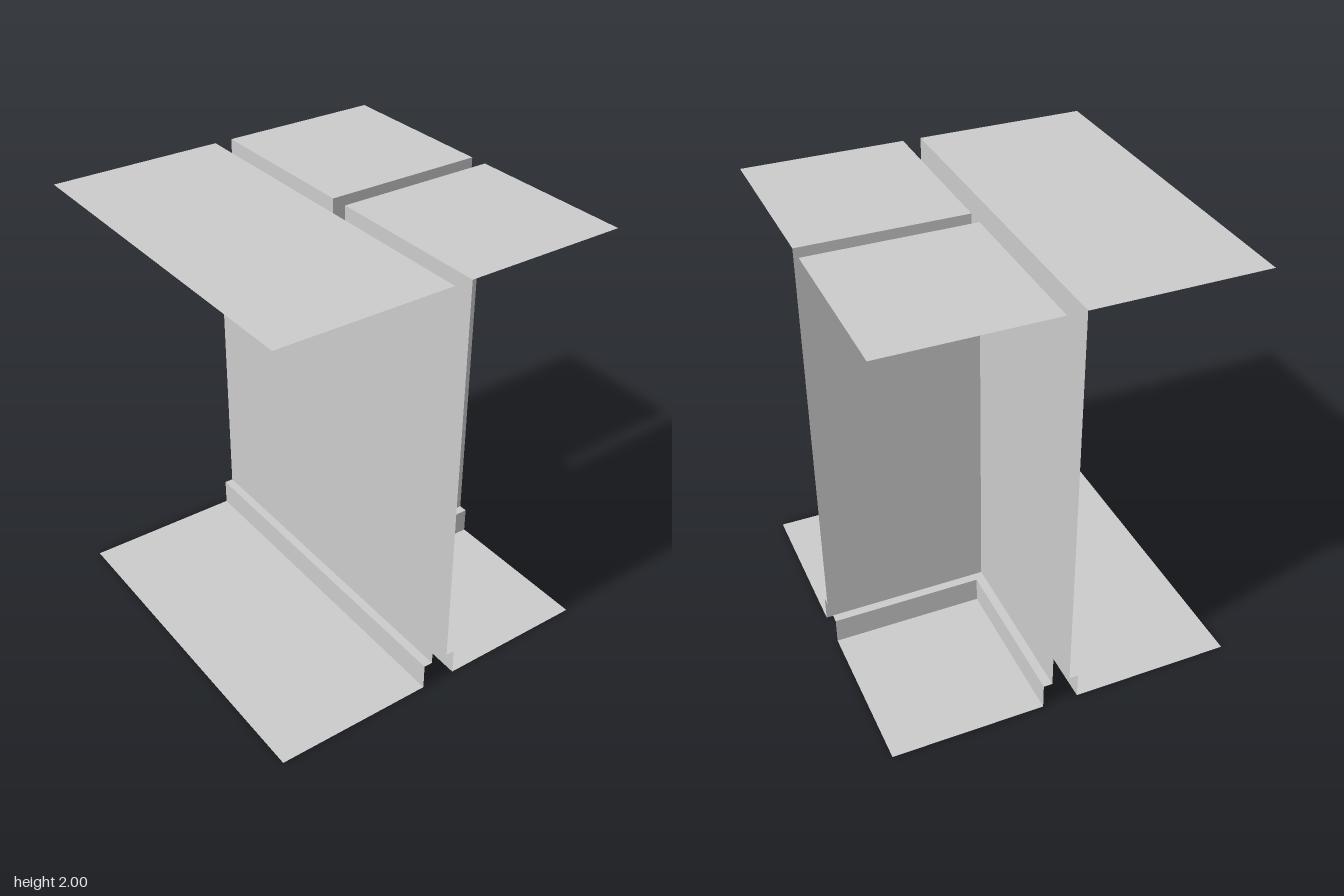
import * as THREE from 'three';

const U = 1 / 12;                        // layout unit
const W = 10, D = 9.75, H = 24;          // half width, half depth, height
const B = 1.5, T = 0.5;                  // baseboard height and thickness
const FRONT = 0.25, BACK = -0.75, SIDE = 0.5; // wall planes

const plaster = new THREE.MeshStandardMaterial({ color: 0xcccccc, side: THREE.DoubleSide });
plaster.name = 'light grey plaster';

// One flat sheet from four corners, counter-clockwise as seen from inside the room
function panel(name, corners, mirror = 1) {
  const pts = corners.map(([x, y, z]) => new THREE.Vector3(x * mirror * U, y * U, z * U));
  if (mirror < 0) pts.reverse();
  const geo = new THREE.BufferGeometry().setFromPoints(pts);
  geo.setIndex([0, 1, 2, 0, 2, 3]);
  geo.computeVertexNormals();
  const mesh = new THREE.Mesh(geo, plaster);
  mesh.name = name;
  return mesh;
}

// Horizontal sheet at height y facing up, from [x, z] corners
const level = (y, list) => list.map(([x, z]) => [x, y, z]);
// Upright sheet between two [x, z] points
const upright = ([ax, az], [bx, bz], y0, y1) =>
  [[ax, y0, az], [bx, y0, bz], [bx, y1, bz], [ax, y1, az]];

// Wide room on the front side
function frontRoom() {
  const g = new THREE.Group();
  g.name = 'frontRoom';
  const z = FRONT, zb = FRONT + T;
  g.add(
    panel('wall', upright([-W, z], [W, z], B, H)),
    panel('baseboardTop', level(B, [[-W, zb], [W, zb], [W, z], [-W, z]])),
    panel('baseboardFace', upright([-W, zb], [W, zb], 0, B)),
    panel('floor', level(0, [[-W, D], [W, D], [W, zb], [-W, zb]])),
    panel('ceiling', level(H, [[-W, D], [W, D], [W, z], [-W, z]]).reverse()),
  );
  return g;
}

// Corner room at the back; m = 1 is left, m = -1 its mirror image
function backRoom(m) {
  const g = new THREE.Group();
  g.name = m > 0 ? 'backLeftRoom' : 'backRightRoom';
  const x = SIDE, xb = SIDE + T, z = BACK, zb = BACK - T;
  const add = (name, corners) => g.add(panel(name, corners, m));
  add('rearWall', upright([W, z], [x, z], B, H));
  add('sideWall', upright([x, z], [x, -D], B, H));
  // mitred baseboard along both walls
  add('rearBaseboardTop', level(B, [[x, z], [W, z], [W, zb], [xb, zb]]));
  add('sideBaseboardTop', level(B, [[x, -D], [x, z], [xb, zb], [xb, -D]]));
  add('rearBaseboardFace', upright([W, zb], [xb, zb], 0, B));
  add('sideBaseboardFace', upright([xb, zb], [xb, -D], 0, B));
  add('floor', level(0, [[xb, zb], [W, zb], [W, -D], [xb, -D]]));
  add('ceiling', level(H, [[x, z], [W, z], [W, -D], [x, -D]]).reverse());
  return g;
}

export function createModel() {
  const model = new THREE.Group();
  model.name = 'roomJunction';
  model.add(frontRoom(), backRoom(1), backRoom(-1));
  return model;
}
